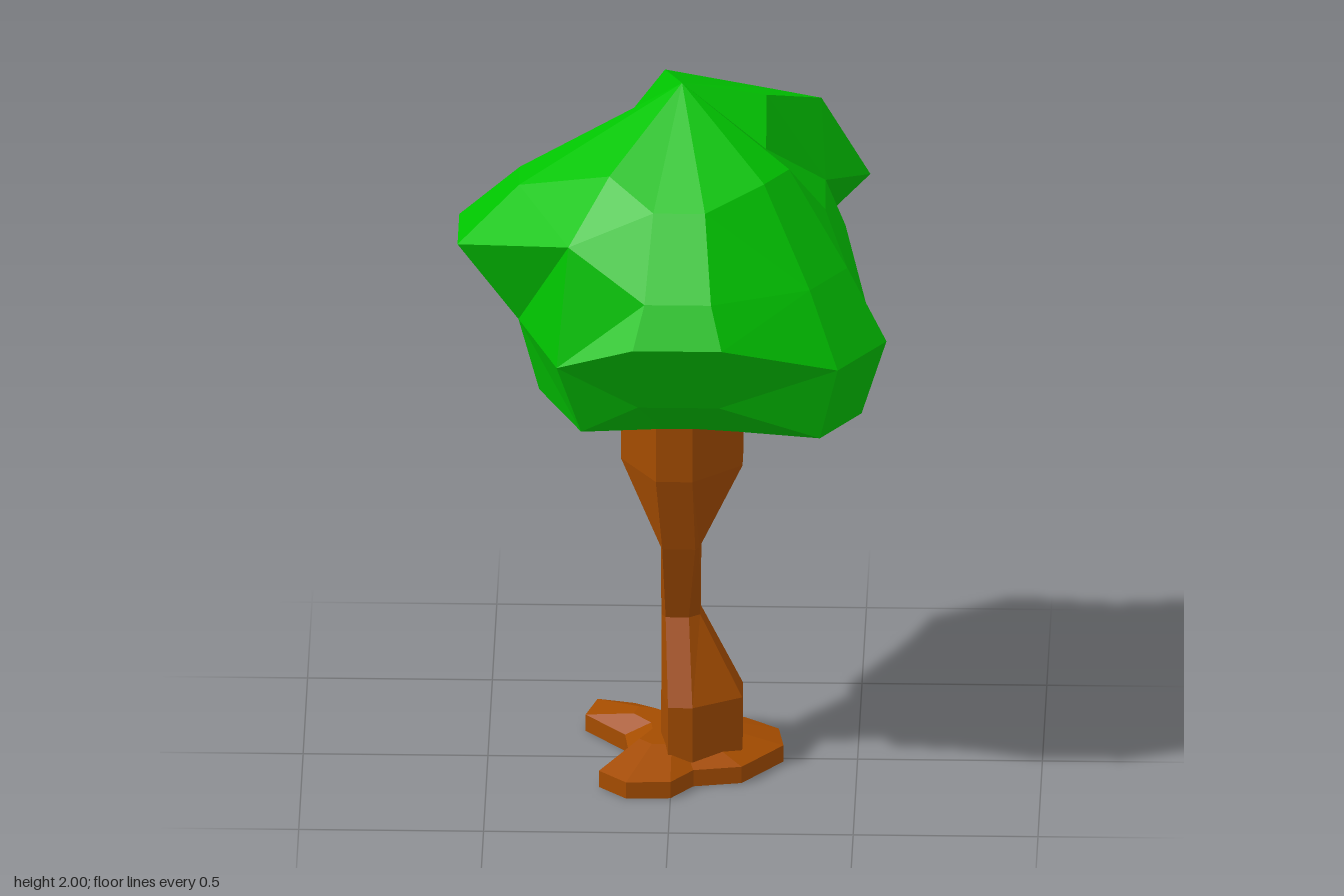
import * as THREE from 'three';

const leafGreen = new THREE.MeshStandardMaterial({ color: 0x00c400, flatShading: true });
leafGreen.name = 'leafGreen';
const barkBrown = new THREE.MeshStandardMaterial({ color: 0xa44c00, flatShading: true });
barkBrown.name = 'barkBrown';

// Skin closed rings (listed top to bottom, points running from +x towards +z).
function skin(rings) {
  const pos = [];
  const tri = (a, b, c) => {
    if (a.distanceTo(b) < 1e-5 || b.distanceTo(c) < 1e-5 || a.distanceTo(c) < 1e-5) return;
    for (const p of [a, b, c]) pos.push(p.x, p.y, p.z);
  };
  for (let i = 0; i < rings.length - 1; i++) {
    const n = rings[i].length;
    for (let j = 0; j < n; j++) {
      const k = (j + 1) % n;
      const a = rings[i][j], b = rings[i][k], c = rings[i + 1][k], d = rings[i + 1][j];
      if (a.distanceTo(c) <= b.distanceTo(d)) { tri(a, b, c); tri(a, c, d); }
      else { tri(a, b, d); tri(b, c, d); }
    }
  }
  const g = new THREE.BufferGeometry();
  g.setAttribute('position', new THREE.Float32BufferAttribute(pos, 3));
  g.computeVertexNormals();
  return g;
}

function part(name, geometry, material) {
  const m = new THREE.Mesh(geometry, material);
  m.name = name;
  return m;
}

// Leaf crown: each lobe has a direction and a profile of [reach, height, half width];
// lobes without a width are single folds between their neighbours.
function crownGeometry() {
  const cx = 0.025;
  const lobes = [
    [-15, [[0.235, 1.94], [0.40, 1.67], [0.455, 1.53], [0.39, 1.115], [0.24, 0.955]]],
    [13, [[0.235, 1.83], [0.40, 1.67], [0.53, 1.34], [0.46, 1.115], [0.22, 1.03]]],
    [33, [[0.31, 1.80, 0.06], [0.48, 1.54, 0.09], [0.59, 1.34, 0.117], [0.52, 1.115, 0.10], [0.22, 1.04, 0.05]]],
    [90, [[0.33, 1.76, 0.07], [0.49, 1.56, 0.09], [0.55, 1.45, 0.12], [0.41, 1.22, 0.11], [0.17, 1.05, 0.05]]],
    [128, [[0.31, 1.83], [0.485, 1.68], [0.535, 1.34], [0.43, 1.115], [0.20, 1.05]]],
    [180, [[0.44, 1.72, 0.06], [0.605, 1.56, 0.10], [0.44, 1.34, 0.10], [0.385, 1.115, 0.06], [0.18, 1.05, 0.04]]],
    [231, [[0.23, 1.83], [0.39, 1.67], [0.54, 1.34], [0.40, 1.115], [0.20, 1.04]]],
    [257, [[0.227, 1.94], [0.40, 1.67], [0.57, 1.34], [0.50, 1.005], [0.25, 0.99]]],
    [305, [[0.42, 1.83], [0.595, 1.56], [0.44, 1.45], [0.40, 1.115], [0.27, 0.955]]],
    [322, [[0.47, 1.83], [0.635, 1.56], [0.44, 1.45], [0.39, 1.115], [0.28, 0.955]]],
  ];
  const rings = [0, 1, 2, 3, 4].map((level) => {
    const ring = [];
    for (const [deg, profile] of lobes) {
      const a = THREE.MathUtils.degToRad(deg), c = Math.cos(a), s = Math.sin(a);
      const [r, y, w] = profile[level];
      for (const side of w ? [-w, w] : [0]) {
        ring.push(new THREE.Vector3(cx + r * c - side * s, y, r * s + side * c));
      }
    }
    return ring;
  });
  const tip = (y) => rings[0].map(() => new THREE.Vector3(cx, y, 0));
  return skin([tip(2), ...rings, tip(1.02)]);
}

// Trunk: eight-sided sections given as
// [y, xMin, xMax, zMin, zMax, z shift at xMin, z shift at xMax, squareness].
function trunkGeometry() {
  const sections = [
    [1.08, -0.14, 0.19, -0.12, 0.165, -0.04, 0, 0.3],
    [0.89, -0.14, 0.19, -0.165, 0.165, -0.04, 0, 0.3],
    [0.67, -0.03, 0.075, -0.165, 0.12, 0, 0, 0.85],
    [0.44, -0.03, 0.075, -0.05, 0.055, 0, 0, 0.6],
    [0.22, -0.03, 0.19, -0.165, 0.165, 0, 0.04, 0.3],
    [0.02, -0.03, 0.19, -0.165, 0.165, 0, 0.04, 0.3],
  ];
  return skin(sections.map(([y, x0, x1, z0, z1, s0, s1, k]) => [
    [x1, k * z0 + s1], [x1, k * z1 + s1], [k * x1, z1], [k * x0, z1],
    [x0, k * z1 + s0], [x0, k * z0 + s0], [k * x0, z0], [k * x1, z0],
  ].map(([x, z]) => new THREE.Vector3(x, y, z))));
}

// Roots: a low three-armed foot, rising towards the trunk.
function rootGeometry() {
  const outline = [
    [0.285, -0.09], [0.30, 0.02], [0.19, 0.165], [0.06, 0.19], [0, 0.27], [-0.12, 0.275], [-0.195, 0.2],
    [-0.12, 0.05], [-0.13, -0.04], [-0.24, -0.17], [-0.21, -0.275], [-0.11, -0.25], [0.03, -0.14], [0.19, -0.165],
  ];
  const ring = (scale, y) => outline.map(([x, z]) => new THREE.Vector3(x * scale, y, z * scale));
  return skin([ring(0, 0.095), ring(0.45, 0.095), ring(1, 0.048), ring(1, 0), ring(0, 0)]);
}

export function createModel() {
  const tree = new THREE.Group();
  tree.name = 'tree';
  tree.add(part('crown', crownGeometry(), leafGreen));
  tree.add(part('trunk', trunkGeometry(), barkBrown));
  tree.add(part('roots', rootGeometry(), barkBrown));
  return tree;
}
